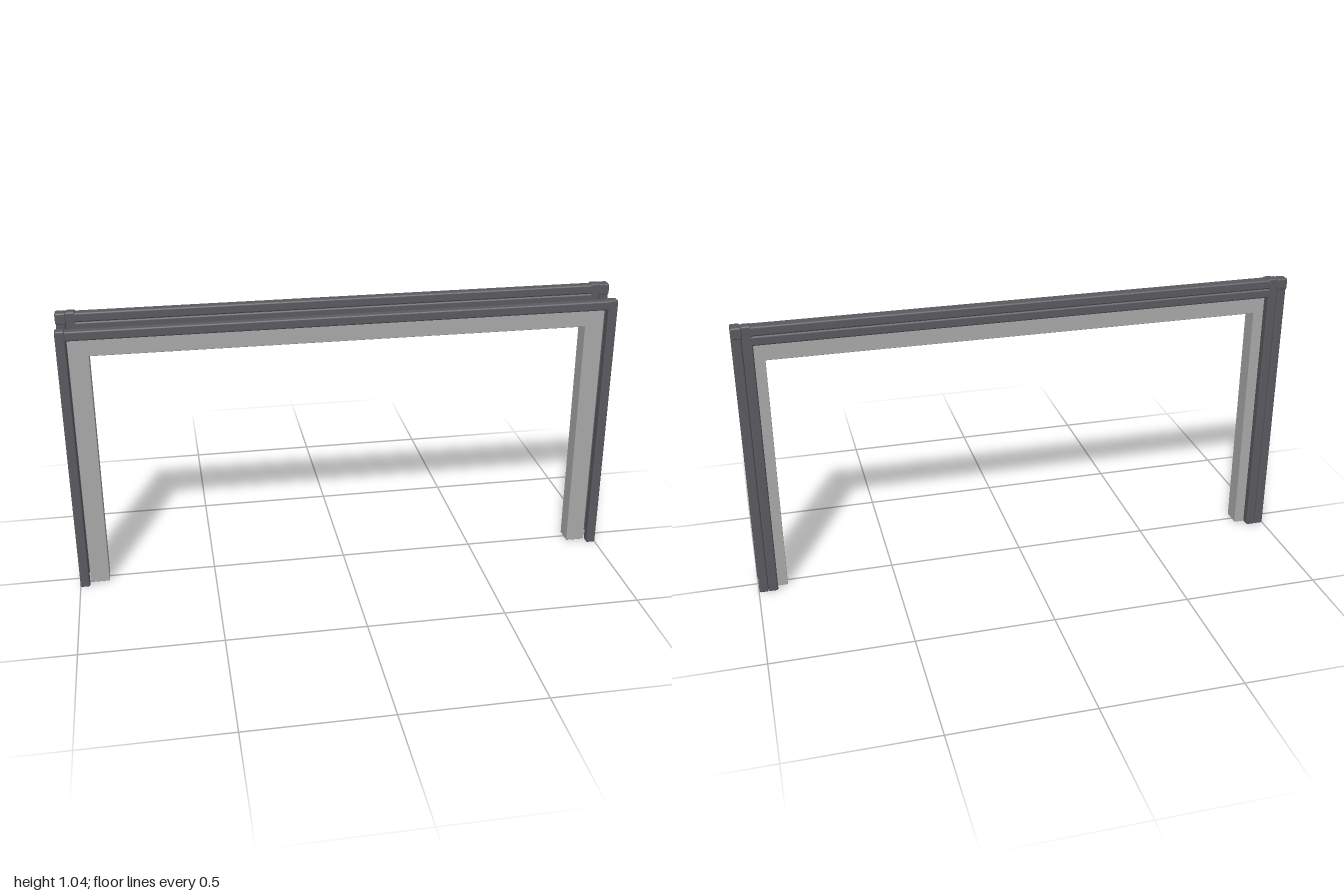
import * as THREE from 'three';
import { RoundedBoxGeometry } from 'three/addons/geometries/RoundedBoxGeometry.js';

const lining = new THREE.MeshStandardMaterial({ color: 0xaaaaaa });
const trim = new THREE.MeshStandardMaterial({ color: 0x5a5a60 });

// Softly rounded bar given by its extents on each axis
function bar(parent, name, material, [x0, x1], [y0, y1], [z0, z1], radius = 0.006) {
  const geometry = new RoundedBoxGeometry(x1 - x0, y1 - y0, z1 - z0, 2, radius);
  const mesh = new THREE.Mesh(geometry, material);
  mesh.name = name;
  mesh.position.set((x0 + x1) / 2, (y0 + y1) / 2, (z0 + z1) / 2);
  parent.add(mesh);
}

// The same upright on both sides of the opening
function uprights(parent, name, material, [x0, x1], y, z, radius) {
  bar(parent, name + 'Left', material, [x0, x1], y, z, radius);
  bar(parent, name + 'Right', material, [-x1, -x0], y, z, radius);
}

export function createModel() {
  const model = new THREE.Group();
  model.name = 'doorFrame';

  // Plain lining around the opening
  const jambs = new THREE.Group();
  jambs.name = 'lining';
  const depth = [-0.032, 0.036];
  uprights(jambs, 'jamb', lining, [0.893, 0.963], [0, 0.965], depth, 0.002);
  bar(jambs, 'header', lining, [-0.895, 0.895], [0.897, 0.965], depth, 0.002);

  // Slim single moulding on the front
  const front = new THREE.Group();
  front.name = 'frontTrim';
  uprights(front, 'frontPost', trim, [0.965, 1], [0, 1.003], [0.034, 0.068]);
  bar(front, 'frontRail', trim, [-0.998, 0.998], [0.965, 1], [0.034, 0.066]);

  // Wider double moulding on the back
  const back = new THREE.Group();
  back.name = 'backTrim';
  const z = [-0.065, -0.03];
  uprights(back, 'outerBackPost', trim, [0.965, 0.998], [0, 1.02], z);
  uprights(back, 'innerBackPost', trim, [0.93, 0.965], [0, 1.037], z);
  bar(back, 'lowerBackRail', trim, [-0.965, 0.965], [0.965, 0.999], z);
  bar(back, 'upperBackRail', trim, [-0.998, 0.998], [0.999, 1.033], z);
  uprights(back, 'cornerCap', trim, [0.962, 1], [0.993, 1.035], [-0.068, -0.028]);

  model.add(jambs, front, back);
  return model;
}
